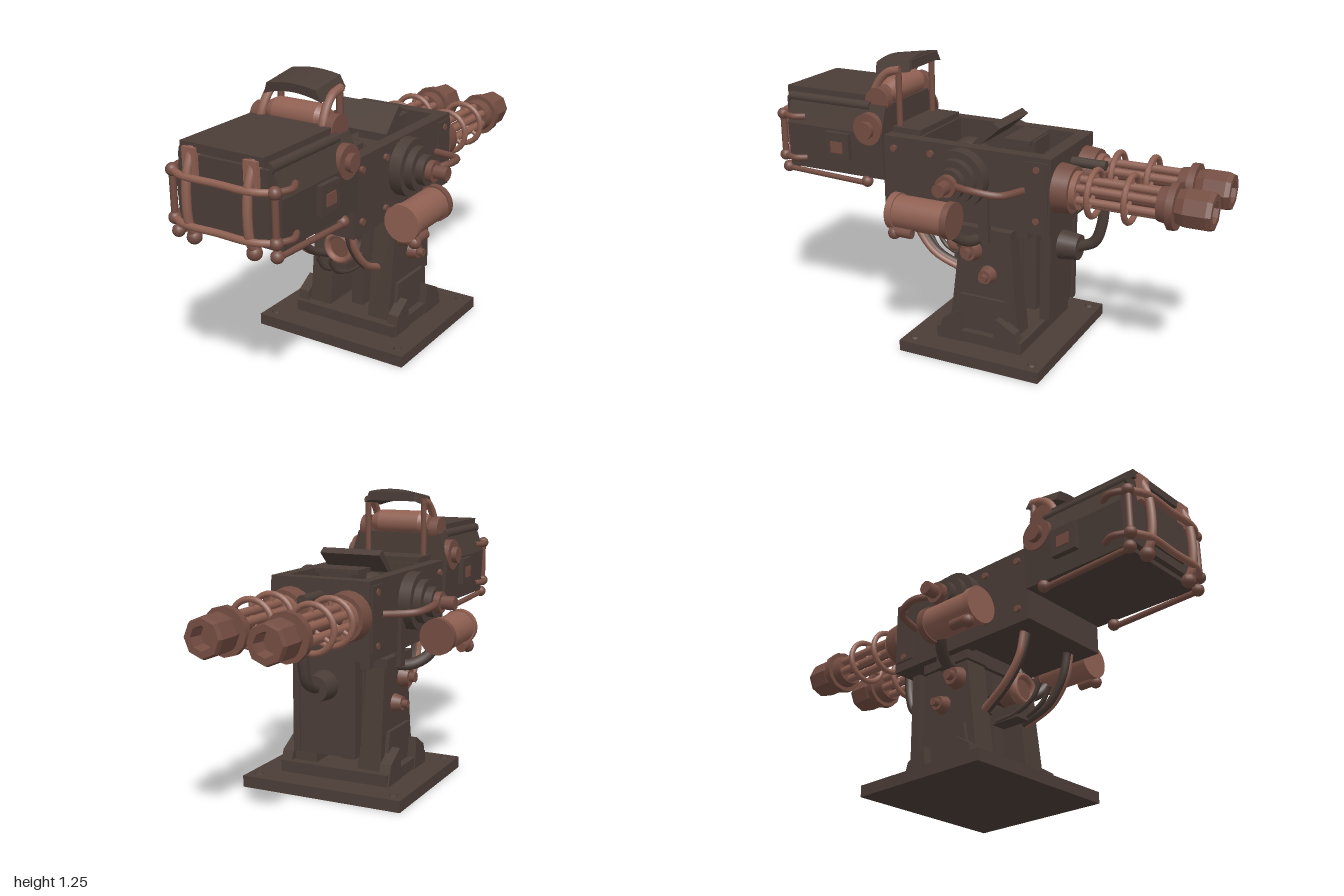
import * as THREE from 'three';

const mat = (name, color) => {
  const m = new THREE.MeshStandardMaterial({ color, side: THREE.DoubleSide });
  m.name = name;
  return m;
};

export function createModel() {
  const root = new THREE.Group();
  root.name = 'twinGunTurret';
  const dark = mat('dark iron', 0x4b3d37);
  const copper = mat('copper', 0x8f6052);
  const rust = mat('dull copper', 0x744d42);

  const add = (name, geo, m, x = 0, y = 0, z = 0) => {
    const mesh = new THREE.Mesh(geo, m);
    mesh.name = name;
    mesh.position.set(x, y, z);
    root.add(mesh);
    return mesh;
  };
  // box given by its limits
  const box = (name, m, x0, x1, y0, y1, z0, z1) =>
    add(name, new THREE.BoxGeometry(x1 - x0, y1 - y0, z1 - z0), m, (x0 + x1) / 2, (y0 + y1) / 2, (z0 + z1) / 2);
  // cylinder along an axis, r1 at the positive end
  const cyl = (name, m, axis, r0, r1, len, x, y, z, n = 20) => {
    const g = new THREE.CylinderGeometry(r1, r0, len, n);
    if (axis === 'x') g.rotateZ(-Math.PI / 2);
    if (axis === 'z') g.rotateX(Math.PI / 2);
    return add(name, g, m, x, y, z);
  };
  const tube = (name, m, r, pts, n = 20) => add(name, new THREE.TubeGeometry(
    new THREE.CatmullRomCurve3(pts.map(p => new THREE.Vector3(...p))), n, r, 8), m);
  const rod = (name, m, r, a, b) => tube(name, m, r, [a, b], 1);
  const ball = (name, m, r, x, y, z) => add(name, new THREE.SphereGeometry(r, 14, 10), m, x, y, z);
  // outline in z,y extruded across x
  const sideSlab = (name, m, pts, x0, x1) => {
    const g = new THREE.ExtrudeGeometry(new THREE.Shape(pts.map(p => new THREE.Vector2(-p[0], p[1]))),
      { depth: x1 - x0, bevelEnabled: false });
    g.rotateY(Math.PI / 2);
    return add(name, g, m, x0);
  };

  // base plate with corner bolts
  box('basePlate', dark, -0.37, 0.37, 0, 0.05, -0.37, 0.295);
  for (const x of [-0.32, 0.32]) for (const z of [-0.32, 0.245]) cyl('baseBolt', dark, 'y', 0.02, 0.016, 0.01, x, 0.054, z, 6);
  box('footing', dark, -0.255, 0.255, 0.05, 0.1, -0.24, 0.17);

  // pedestal centre
  box('centrePost', dark, -0.03, 0.03, 0.1, 0.4, -0.1, 0.06);
  box('yokeBlock', dark, -0.12, 0.12, 0.35, 0.57, -0.18, 0.06);
  box('yokeStep', dark, -0.1, 0.1, 0.4, 0.5, 0.06, 0.12);
  box('yokeNeck', dark, -0.16, 0.16, 0.54, 0.61, -0.22, 0.08);
  box('rearPanel', dark, -0.13, 0.13, 0.18, 0.6, -0.31, -0.28);
  box('rearHousing', dark, -0.11, 0.11, 0.2, 0.58, -0.24, -0.18);
  box('rearPanelMount', dark, -0.06, 0.06, 0.42, 0.54, -0.29, -0.23);
  for (const s of [-1, 1]) box('rearPanelFrame', dark, s * 0.13 - 0.015, s * 0.13 + 0.015, 0.18, 0.6, -0.32, -0.275);
  const ring = add('frontRing', new THREE.TorusGeometry(0.06, 0.014, 10, 24), copper, 0, 0.43, 0.2);
  ring.scale.z = 1.6;
  cyl('ringSocket', rust, 'z', 0.05, 0.058, 0.1, 0, 0.43, 0.15);
  box('ringBracket', dark, -0.035, 0.035, 0.3, 0.36, 0.06, 0.2);
  tube('hangingLever', dark, 0.014, [[0.04, 0.58, 0.13], [0.05, 0.52, 0.15], [0.05, 0.45, 0.12], [0.05, 0.39, 0.15]]);

  for (const s of [-1, 1]) {
    const lo = Math.min(s * 0.1, s * 0.205), hi = Math.max(s * 0.1, s * 0.205);
    // pedestal cheeks and their feet
    sideSlab('pedestalCheek', dark, [[0.13, 0.1], [0.07, 0.58], [-0.16, 0.58], [-0.2, 0.1]], lo, hi);
    sideSlab('cheekRib', dark, [[0.1, 0.1], [0.07, 0.26], [-0.14, 0.26], [-0.17, 0.1]], s * 0.208 - 0.014, s * 0.208 + 0.014);
    sideSlab('cheekFoot', dark, [[0.16, 0.05], [0.14, 0.14], [0.06, 0.19], [0.04, 0.05]], s * 0.235 - 0.025, s * 0.235 + 0.025);
    sideSlab('cheekFoot', dark, [[-0.1, 0.05], [-0.12, 0.19], [-0.21, 0.14], [-0.24, 0.05]], s * 0.235 - 0.025, s * 0.235 + 0.025);
    box('cheekCap', dark, s * 0.16 - 0.06, s * 0.16 + 0.06, 0.54, 0.58, -0.17, 0.09);
    for (const [y, z, r] of [[0.47, 0.02, 0.05], [0.37, -0.06, 0.04]]) {
      cyl('pivotBoss', rust, 'x', r * (s < 0 ? 0.75 : 1), r * (s < 0 ? 1 : 0.75), 0.04, s * 0.225, y, z);
      cyl('pivotNut', rust, 'x', r * 0.45, r * 0.45, 0.025, s * 0.257, y, z, 8);
    }
    for (const z of [-0.17, 0.1]) ball('footBolt', dark, 0.018, s * 0.17, 0.1, z);

    // curved guide straps and hoses below the front
    tube('guideStrap', dark, 0.018, [[s * 0.13, 0.6, 0.34], [s * 0.135, 0.5, 0.31], [s * 0.135, 0.4, 0.23], [s * 0.11, 0.335, 0.1]]);
    tube('guideHose', copper, 0.015, [[s * 0.15, 0.6, 0.34], [s * 0.152, 0.5, 0.315], [s * 0.152, 0.4, 0.235], [s * 0.13, 0.33, 0.1]]);
    tube('thinHose', dark, 0.01, [[s * 0.03, 0.42, 0.32], [s * 0.03, 0.36, 0.28], [s * 0.03, 0.32, 0.19], [s * 0.03, 0.31, 0.08]]);

    // stepped side hub
    for (const [x, r, w] of [[0.25, 0.125, 0.06], [0.29, 0.095, 0.05], [0.325, 0.065, 0.05]])
      cyl('sideHub', dark, 'x', r, r, w, s * x, 0.8, 0.05, 28);
    cyl('hubCap', rust, 'x', 0.046, 0.046, 0.03, s * 0.362, 0.8, 0.05);
    cyl('hubNut', rust, 'x', 0.03, 0.03, 0.06, s * 0.405, 0.8, 0.05, 8);
    tube('hubPipe', rust, 0.016, [[s * 0.35, 0.8, 0.03], [s * 0.385, 0.805, -0.07], [s * 0.35, 0.79, -0.18], [s * 0.22, 0.78, -0.23]]);
    box('hubStrap', dark, s * 0.225 - 0.015, s * 0.225 + 0.015, 0.53, 0.76, -0.075, -0.03);

    // side canister
    cyl('canister', copper, 'z', 0.072, 0.072, 0.28, s * 0.365, 0.655, 0.16, 24);
    cyl('canisterRearRim', rust, 'z', 0.079, 0.079, 0.03, s * 0.365, 0.655, 0.03, 24);
    cyl('canisterFrontRim', copper, 'z', 0.079, 0.079, 0.03, s * 0.365, 0.655, 0.29, 24);
    cyl('canisterTube', rust, 'z', 0.022, 0.022, 0.1, s * 0.41, 0.583, 0.24, 12);
    ball('canisterTubeEnd', rust, 0.028, s * 0.41, 0.575, 0.275);
    tube('canisterArm', dark, 0.025, [[s * 0.35, 0.62, 0.06], [s * 0.31, 0.56, 0.03], [s * 0.25, 0.53, 0], [s * 0.17, 0.53, -0.02]]);
  }

  // open-topped gun body
  box('bodyFloor', dark, -0.225, 0.225, 0.6, 0.76, -0.35, 0.435);
  box('bodyRearWall', dark, -0.225, 0.225, 0.76, 0.93, -0.35, -0.29);
  box('bodyFrontBlock', dark, -0.225, 0.225, 0.76, 0.93, 0.27, 0.435);
  box('bodyFrontLid', dark, -0.17, 0.17, 0.93, 0.955, 0.28, 0.42);
  for (const s of [-1, 1]) {
    box('bodySideWall', dark, s * 0.198 - 0.027, s * 0.198 + 0.027, 0.76, 0.93, -0.29, 0.27);
    for (const z of [-0.29, 0.2, 0.38]) for (const y of [0.66, 0.88]) cyl('bodyRivet', rust, 'x', 0.015, 0.015, 0.016, s * 0.23, y, z, 8);
    box('bodySidePlate', dark, s * 0.225 - 0.008, s * 0.225 + 0.008, 0.64, 0.91, -0.34, -0.24);
  }
  box('rearLip', dark, -0.1, 0.1, 0.93, 0.95, -0.2, -0.08);
  // works inside the body
  box('breechBlock', dark, -0.075, 0.075, 0.76, 0.945, -0.21, -0.07);
  box('breechBase', dark, -0.12, 0.12, 0.76, 0.84, -0.25, 0.02);
  sideSlab('tiltedLever', dark, [[0.05, 0.92], [0.01, 0.92], [-0.08, 1.0], [-0.05, 1.02]], -0.14, 0.14);
  add('innerDome', new THREE.SphereGeometry(0.1, 20, 10, 0, Math.PI * 2, 0, Math.PI / 2), dark, 0, 0.8, 0.13);
  box('innerDomeSeat', dark, -0.13, 0.13, 0.76, 0.81, 0.03, 0.27);
  cyl('rearPeg', dark, 'z', 0.022, 0.022, 0.16, 0, 0.86, -0.42, 10);

  // front ammunition box with sloped shoulders
  const outline = [[-0.235, 0.73], [0.235, 0.73], [0.245, 0.93], [0.205, 1.05], [-0.205, 1.05], [-0.245, 0.93]];
  const boxGeo = new THREE.ExtrudeGeometry(new THREE.Shape(outline.map(p => new THREE.Vector2(...p))),
    { depth: 0.49, bevelEnabled: false });
  add('ammoBox', boxGeo, dark, 0, 0, 0.43);
  box('ammoBoxLid', dark, -0.19, 0.19, 1.05, 1.085, 0.52, 0.95);
  box('frontPanel', dark, -0.205, 0.205, 0.75, 1.04, 0.92, 0.945);
  box('frontInset', dark, -0.12, 0.12, 0.79, 0.96, 0.945, 0.965);
  for (const s of [-1, 1]) {
    // latch and fittings on the box side
    box('sideLatch', dark, s * 0.25 - 0.015, s * 0.25 + 0.015, 0.8, 0.92, 0.59, 0.71);
    box('latchKey', rust, s * 0.262 - 0.008, s * 0.262 + 0.008, 0.83, 0.88, 0.62, 0.68);
    cyl('lidHinge', dark, 'z', 0.022, 0.022, 0.42, s * 0.195, 1.04, 0.72, 10);
    cyl('sideKnob', rust, 'x', 0.07, 0.07, 0.05, s * 0.225, 0.95, 0.5);
    cyl('sideKnobCap', rust, 'x', 0.038, 0.038, 0.03, s * 0.26, 0.95, 0.5, 10);
    rod('lowerRod', rust, 0.013, [s * 0.23, 0.7, 0.52], [s * 0.23, 0.715, 0.94]);
    for (const [y, z] of [[0.71, 0.52], [0.72, 0.94]]) ball('rodEnd', rust, 0.026, s * 0.23, y, z);

    // front cage
    tube('cagePost', copper, 0.018, [[s * 0.14, 0.72, 0.95], [s * 0.14, 0.78, 0.98], [s * 0.14, 0.96, 0.98], [s * 0.14, 1.07, 0.94]]);
    box('cageClamp', copper, s * 0.14 - 0.03, s * 0.14 + 0.03, 0.95, 1.07, 0.93, 0.965);
    for (const y of [0.775, 0.965]) {
      ball('cageJoint', rust, 0.026, s * 0.235, y, 0.95);
      tube('cageSide', rust, 0.014, [[s * 0.235, y, 0.95], [s * 0.26, y, 0.88], [s * 0.235, y, 0.83]], 8);
    }
    ball('cageFoot', rust, 0.03, s * 0.14, 0.72, 0.955);
    rod('cageUpright', rust, 0.014, [s * 0.235, 0.775, 0.95], [s * 0.235, 0.965, 0.95]);

    // sight posts
    tube('sightPost', copper, 0.018, [[s * 0.155, 0.96, 0.53], [s * 0.145, 1.1, 0.52], [s * 0.14, 1.18, 0.46], [s * 0.14, 1.2, 0.39]]);
    rod('sightRearPost', rust, 0.014, [s * 0.14, 0.95, 0.4], [s * 0.14, 1.21, 0.4]);
    cyl('rollerEnd', rust, 'x', 0.058, 0.058, 0.04, s * 0.175, 1.065, 0.48);
    cyl('rollerTaper', copper, 'x', s < 0 ? 0.035 : 0.055, s < 0 ? 0.055 : 0.035, 0.04, s * 0.12, 1.095, 0.47);
  }
  for (const y of [0.775, 0.965]) tube('cageBar', copper, 0.015,
    [[-0.235, y, 0.95], [-0.16, y, 0.985], [0, y, 0.985], [0.16, y, 0.985], [0.235, y, 0.95]]);
  cyl('sightRoller', copper, 'x', 0.055, 0.055, 0.2, 0, 1.095, 0.47);

  // arched visor above the sight, tipped forward
  const arch = new THREE.Shape();
  arch.moveTo(-0.135, -0.02);
  arch.lineTo(-0.115, 0.028);
  arch.quadraticCurveTo(0, 0.055, 0.115, 0.028);
  arch.lineTo(0.135, -0.02);
  arch.lineTo(0.105, -0.01);
  arch.quadraticCurveTo(0, 0.02, -0.105, -0.01);
  const visorGeo = new THREE.ExtrudeGeometry(arch, { depth: 0.17, bevelEnabled: false });
  visorGeo.translate(0, 0, -0.085);
  add('sightVisor', visorGeo, dark, 0, 1.2, 0.437).rotation.x = 0.15;
  box('visorLip', dark, -0.11, 0.11, 1.2, 1.24, 0.35, 0.365);

  // twin rotary guns
  for (const s of [-1, 1]) {
    const x = s * 0.132, y = 0.785;
    cyl('gunMount', rust, 'z', 0.098, 0.105, 0.07, x, y, -0.385);
    cyl('gunCollar', copper, 'z', 0.08, 0.08, 0.03, x, y, -0.43);
    cyl('gunCore', rust, 'z', 0.022, 0.022, 0.4, x, y, -0.62, 10);
    for (let i = 0; i < 6; i++) {
      const a = (i + 0.5) * Math.PI / 3;
      cyl('gunBarrel', copper, 'z', 0.018, 0.018, 0.4, x + 0.05 * Math.cos(a), y + 0.05 * Math.sin(a), -0.62, 8);
    }
    for (const z of [-0.505, -0.66]) {
      add('barrelRing', new THREE.TorusGeometry(0.095, 0.013, 8, 28), copper, x, y, z);
      for (let i = 0; i < 3; i++) {
        const a = i * Math.PI * 2 / 3 + Math.PI / 2;
        rod('ringSpoke', copper, 0.01, [x, y, z], [x + 0.095 * Math.cos(a), y + 0.095 * Math.sin(a), z]);
      }
    }
    cyl('muzzleSleeve', rust, 'z', 0.08, 0.07, 0.06, x, y, -0.81);
    cyl('muzzleFlange', rust, 'z', 0.098, 0.098, 0.03, x, y, -0.84, 12);
    // hollow eight-sided muzzle
    const profile = [[0, 0.06], [0.042, 0.06], [0.048, 0], [0.075, 0], [0.082, 0.02], [0.082, 0.11], [0.07, 0.15]];
    const g = new THREE.LatheGeometry(profile.map(p => new THREE.Vector2(...p)), 8).toNonIndexed();
    g.rotateX(Math.PI / 2);
    g.computeVertexNormals();
    add('muzzle', g, rust, x, y, -1);
  }

  // rear feed hose into its socket
  tube('feedHose', dark, 0.024, [[0, 0.7, -0.5], [0, 0.6, -0.49], [0, 0.52, -0.46], [0, 0.48, -0.38]]);
  rod('feedHoseTop', dark, 0.026, [0, 0.7, -0.5], [0, 0.76, -0.36]);
  cyl('feedSocket', dark, 'z', 0.055, 0.065, 0.09, 0, 0.48, -0.35);

  return root;
}
